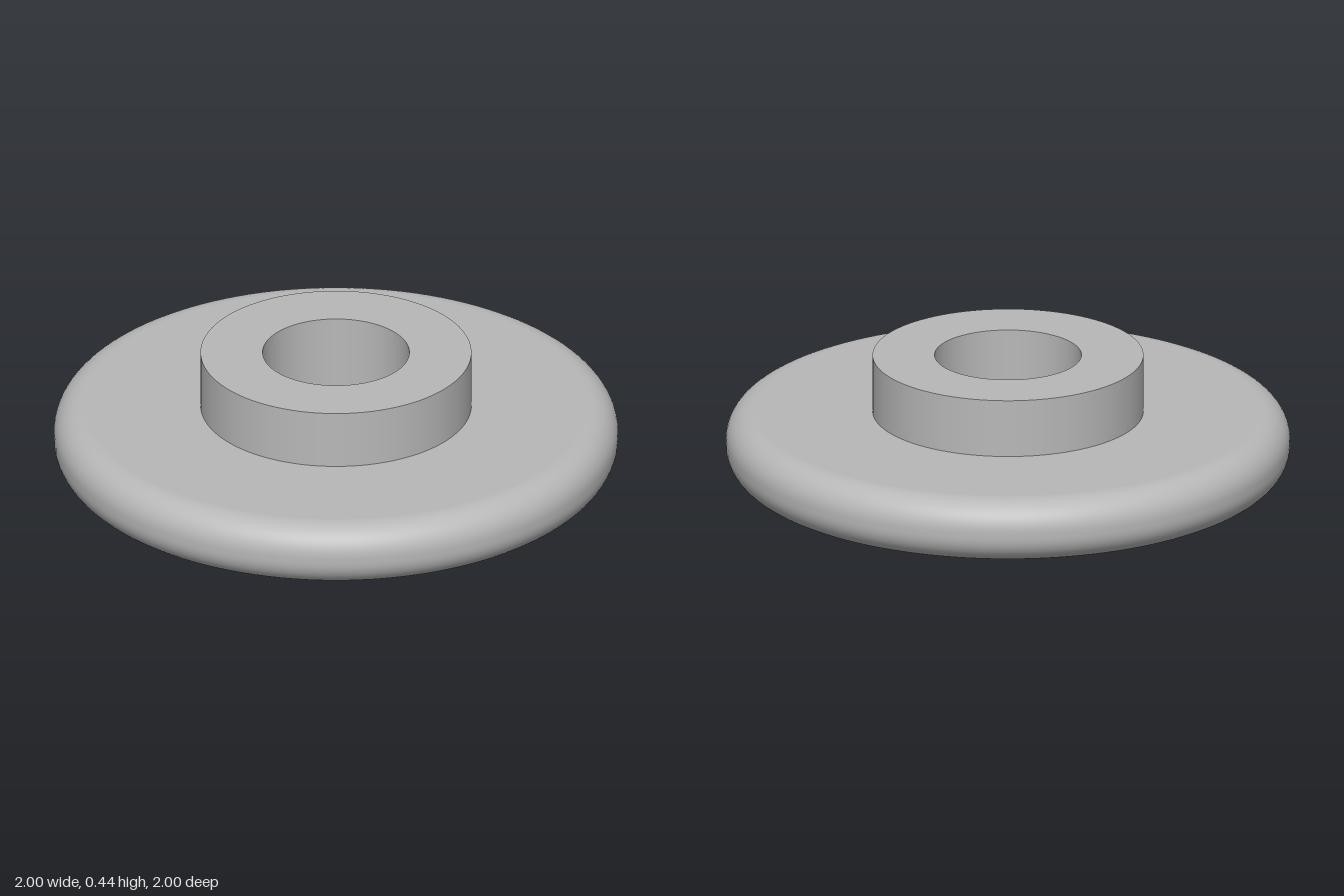
import * as THREE from 'three';
import { mergeGeometries } from 'three/addons/utils/BufferGeometryUtils.js';

const SEGMENTS = 128;
const BORE = 0.26, HUB = 0.48, RIM = 1;
const PLATE_TOP = 0.23, HUB_TOP = 0.44, FILLET = 0.105;

// Each section is turned on its own, so edges between sections stay sharp
function turn(...points) {
  return new THREE.LatheGeometry(points.map(([r, y]) => new THREE.Vector2(r, y)), SEGMENTS);
}

// Quarter round of the rim, from angle a upwards
function quarterRound(cy, a, steps = 12) {
  return Array.from({ length: steps + 1 }, (_, i) => {
    const t = a + (i / steps) * Math.PI / 2;
    return [RIM - FILLET + FILLET * Math.cos(t), cy + FILLET * Math.sin(t)];
  });
}

export function createModel() {
  const grey = new THREE.MeshStandardMaterial({ color: 0xb8b8b8 });
  grey.name = 'grey';
  const group = new THREE.Group();
  group.name = 'flangedBushing';

  const add = (name, ...sections) => {
    const mesh = new THREE.Mesh(mergeGeometries(sections), grey);
    mesh.name = name;
    group.add(mesh);
  };

  // Wide disc with a rounded rim
  add('disc',
    turn([BORE, 0], [RIM - FILLET, 0]),
    turn(...quarterRound(FILLET, -Math.PI / 2), ...quarterRound(PLATE_TOP - FILLET, 0)),
    turn([RIM - FILLET, PLATE_TOP], [HUB, PLATE_TOP]));

  // Raised collar with a flat top
  add('hub',
    turn([HUB, PLATE_TOP], [HUB, HUB_TOP]),
    turn([HUB, HUB_TOP], [BORE, HUB_TOP]));

  // Through hole, facing the axis
  add('bore', turn([BORE, HUB_TOP], [BORE, 0]));

  return group;
}
